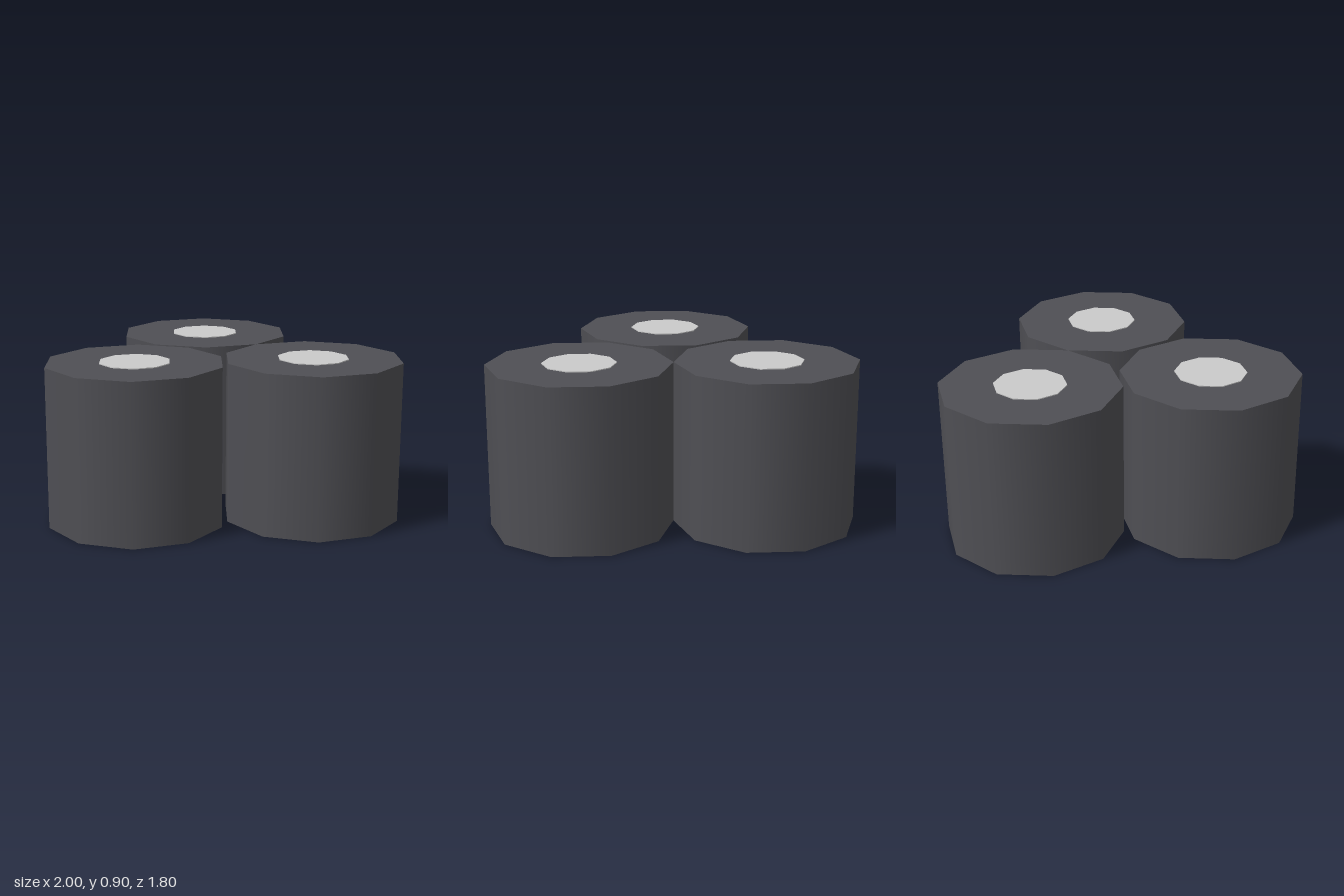
import * as THREE from 'three';

const SIDES = 10, RADIUS = 0.5, HEIGHT = 0.9, RECESS = 0.3;

export function createModel() {
  const charcoal = new THREE.MeshStandardMaterial({ color: 0x4f4f54, side: THREE.DoubleSide });
  charcoal.name = 'charcoal';
  const paleGrey = new THREE.MeshStandardMaterial({ color: 0xcacaca });
  paleGrey.name = 'pale grey';

  // Ten-sided geometries with corners on the x axis
  const wallGeo = new THREE.CylinderGeometry(RADIUS, RADIUS, HEIGHT, SIDES, 1, true, Math.PI / 2);
  const capGeo = new THREE.CircleGeometry(RADIUS, SIDES);
  const discGeo = new THREE.CylinderGeometry(0.2, 0.2, 0.005, SIDES, 1, false, Math.PI / 2);

  const model = new THREE.Group();
  model.name = 'cylinderCluster';

  const add = (parent, name, geometry, material, y, tilt = 0) => {
    const mesh = new THREE.Mesh(geometry, material);
    mesh.name = name;
    mesh.position.y = y;
    mesh.rotation.x = tilt;
    parent.add(mesh);
  };

  // Each cylinder: smooth wall, top cap, recessed base and pale centre disc
  const places = [
    ['frontCylinder', 0, 0.425],
    ['backLeftCylinder', 0.5, -0.428],
    ['backRightCylinder', -0.5, -0.428],
  ];
  for (const [name, x, z] of places) {
    const cylinder = new THREE.Group();
    cylinder.name = name;
    cylinder.position.set(x, 0, z);
    add(cylinder, 'wall', wallGeo, charcoal, HEIGHT / 2);
    add(cylinder, 'topCap', capGeo, charcoal, HEIGHT, -Math.PI / 2);
    add(cylinder, 'recessedBase', capGeo, charcoal, RECESS, Math.PI / 2);
    add(cylinder, 'centreDisc', discGeo, paleGrey, HEIGHT + 0.0025);
    model.add(cylinder);
  }
  return model;
}
